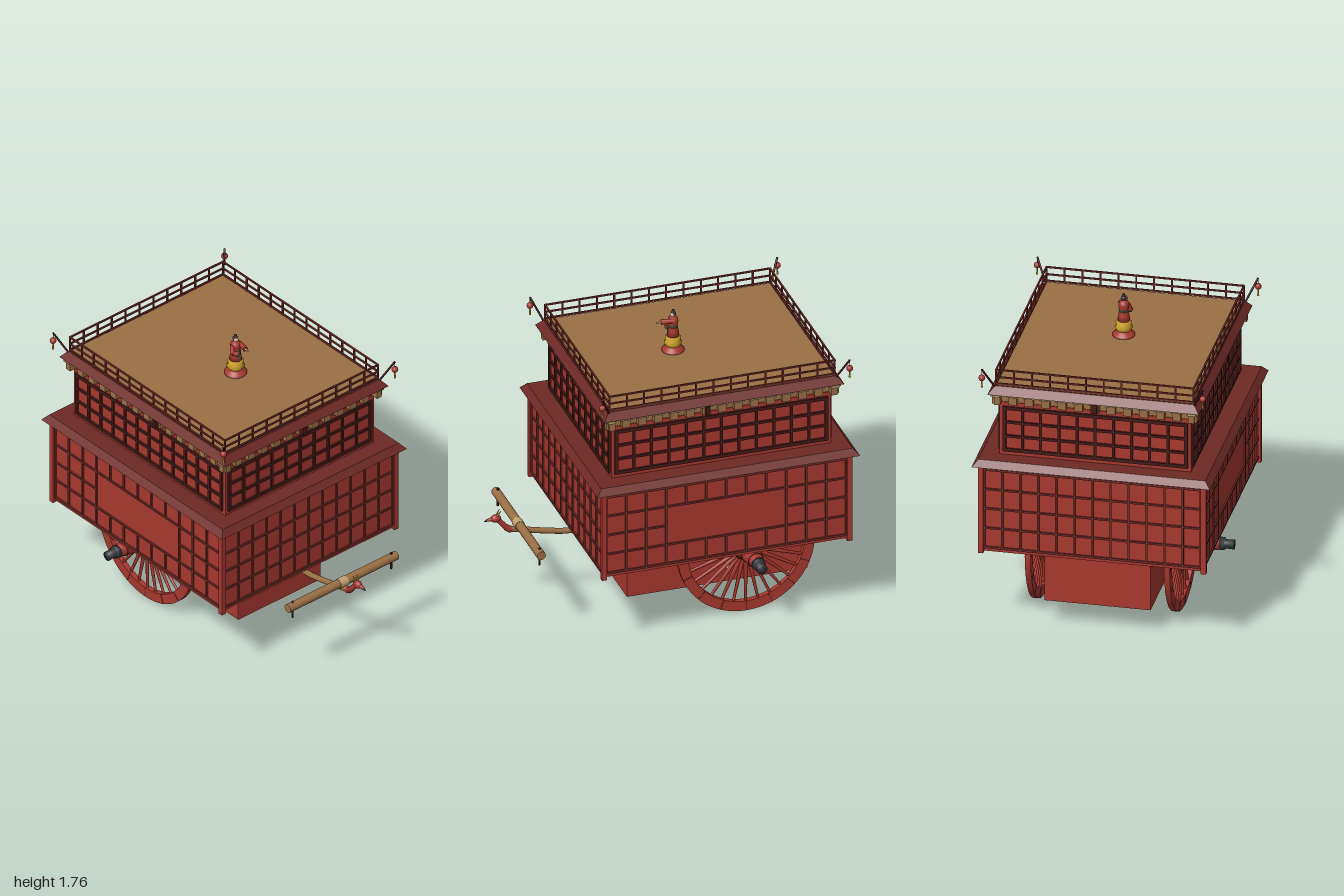
import * as THREE from 'three';
import { mergeGeometries } from 'three/addons/utils/BufferGeometryUtils.js';

const RED = 0xa8382f, MAROON = 0x6e2a26, DARK = 0x421917, WOOD = 0x9a7045, TAN = 0xc2a070;
const GOLD = 0xd0a52c, IRON = 0x33373c, SKIN = 0xd9b08c, GREEN = 0x2f7a5a, BLUE = 0x3a62a0, IVORY = 0xd8ccb0;
const CX = -0.22;            // centre of the carriage body along x
const WHEEL_X = -0.415, AXLE_Y = 0.41;

const box = (w, h, d, x = 0, y = 0, z = 0) => new THREE.BoxGeometry(w, h, d).translate(x, y, z);
const ball = (r, x, y, z) => new THREE.SphereGeometry(r, 14, 10).translate(x, y, z);
const lathe = (pts, seg = 24) => new THREE.LatheGeometry(pts.map(p => new THREE.Vector2(...p)), seg);

// Round bar between two points
function rod(a, b, r0, r1 = r0, seg = 10) {
  const A = new THREE.Vector3(...a), B = new THREE.Vector3(...b), d = B.clone().sub(A);
  const g = new THREE.CylinderGeometry(r1, r0, d.length(), seg);
  g.applyQuaternion(new THREE.Quaternion().setFromUnitVectors(new THREE.Vector3(0, 1, 0), d.normalize()));
  return g.translate(...A.add(B).multiplyScalar(0.5).toArray());
}

// Hipped slab: a box whose top is narrower than its bottom
function hip(hx, hz, tx, tz, y0, y1) {
  const g = box(2 * hx, y1 - y0, 2 * hz, 0, (y0 + y1) / 2, 0).toNonIndexed();
  const p = g.attributes.position;
  for (let i = 0; i < p.count; i++) {
    if (p.getY(i) > (y0 + y1) / 2) p.setXYZ(i, Math.sign(p.getX(i)) * tx, y1, Math.sign(p.getZ(i)) * tz);
  }
  g.computeVertexNormals();
  return g.translate(CX, 0, 0);
}

// Grid of bars in the xy plane; an optional range of cells is left as one open panel
function lattice(hw, y0, y1, cols, rows, bar, depth, edge, gap) {
  const out = [], cw = 2 * hw / cols, rh = (y1 - y0) / rows;
  for (let i = 0; i <= cols; i++) for (let j = 0; j < rows; j++) {
    if (gap && i > gap[0] && i < gap[1] && j >= gap[2] && j < gap[3]) continue;
    out.push(box(i % cols ? bar : edge, rh, depth, -hw + i * cw, y0 + (j + 0.5) * rh, 0));
  }
  for (let j = 0; j <= rows; j++) for (let i = 0; i < cols; i++) {
    if (gap && i >= gap[0] && i < gap[1] && j > gap[2] && j < gap[3]) continue;
    const b = j % rows ? bar : edge;
    out.push(box(cw + (j % rows ? 0 : b), b, depth, -hw + (i + 0.5) * cw, y0 + j * rh, 0));
  }
  return out;
}

// Places pieces made for a +z wall on all four walls (k = 0 front, 1 left, 2 back, 3 right)
function fourSides(hx, hz, make) {
  const out = [];
  for (let k = 0; k < 4; k++) {
    const along = k % 2 ? hz : hx, off = k % 2 ? hx : hz;
    for (const g of make(along, k % 2)) out.push(g.translate(0, 0, off).rotateY(k * Math.PI / 2).translate(CX, 0, 0));
  }
  return out;
}

export function createModel() {
  const model = new THREE.Group();
  const add = (name, color, geos, parent = model, side = THREE.FrontSide) => {
    const list = Array.isArray(geos) ? geos : [geos];
    const m = new THREE.Mesh(list.length > 1 ? mergeGeometries(list) : list[0],
      new THREE.MeshStandardMaterial({ color, side }));
    m.name = name;
    parent.add(m);
    return m;
  };

  // Lower cabin
  add('lowerCabin', RED, box(1.45, 0.54, 1.27, CX, 0.76, 0));
  const posts = [];
  for (const sx of [-1, 1]) for (const sz of [-1, 1]) posts.push(box(0.03, 0.56, 0.03, CX + sx * 0.727, 0.76, sz * 0.64));
  add('cornerPosts', RED, posts);
  add('lowerLattice', MAROON, fourSides(0.725, 0.635, (w, end) =>
    lattice(w - 0.013, 0.515, 1.0, 12, 4, 0.011, 0.018, 0.013, end ? null : [3, 9, 1, 3])));
  add('lowerEave', MAROON, hip(0.778, 0.685, 0.745, 0.652, 1.03, 1.068));

  // Upper cabin with heavy window grids
  add('upperCabin', RED, box(1.3, 0.34, 1.1, CX, 1.225, 0));
  add('upperLattice', DARK, fourSides(0.65, 0.55, (w, end) =>
    lattice(w - 0.028, 1.1, 1.36, end ? 10 : 12, 3, 0.015, 0.022, 0.02)));

  // Bracket course under the roof
  add('bracketCore', WOOD, box(1.29, 0.08, 1.09, CX, 1.43, 0));
  const blocks = (n, w, h, y, d) => fourSides(0.645, 0.545, (hw, end) => {
    const m = end ? n - 2 : n, half = hw + 0.02;
    return Array.from({ length: m }, (_, i) => box(w, h, d, -half + 2 * half * i / (m - 1), y, d / 2 - 0.005));
  });
  add('bracketBlocks', WOOD, blocks(15, 0.048, 0.05, 1.415, 0.035));
  add('bracketCaps', TAN, blocks(15, 0.066, 0.022, 1.45, 0.045));
  add('plaques', DARK, [box(0.025, 0.055, 1.2, -0.128, 1.425, 0), box(1.4, 0.055, 0.035, CX, 1.425, 0)]);

  // Roof, deck and railing
  add('upperEave', MAROON, hip(0.712, 0.607, 0.675, 0.572, 1.46, 1.503));
  add('roofDeck', WOOD, box(1.33, 0.01, 1.13, CX, 1.503, 0));
  add('railing', MAROON, fourSides(0.667, 0.567, (w, end) => {
    const n = end ? 11 : 13;
    const out = [1.515, 1.555, 1.6].map(y => box(2 * w + 0.01, 0.009, 0.009, 0, y, 0));
    for (let i = 0; i < n; i++) out.push(box(0.009, 0.1, 0.009, -w + 2 * w * i / n, 1.553, 0));
    return out;
  }));

  // Corner lanterns on slanting poles
  for (const sx of [-1, 1]) for (const sz of [-1, 1]) {
    const g = new THREE.Group();
    g.name = 'cornerLantern';
    const x = CX + sx * 0.733, z = sz * 0.635;
    add('lanternPole', DARK, [rod([CX + sx * 0.675, 1.5, sz * 0.575], [x, 1.625, z], 0.006),
      rod([x, 1.625, z], [x, 1.59, z], 0.002)], g);
    add('lanternBody', RED, ball(0.019, x, 1.573, z), g);
    add('lanternTassel', GOLD, rod([x, 1.555, z], [x, 1.515, z], 0.004, 0.006), g);
    model.add(g);
  }

  // Pointing figure on a lotus stand, facing the draught pole
  const figure = new THREE.Group();
  figure.name = 'figure';
  figure.position.set(-0.12, 1.505, 0);
  add('figureBase', RED, lathe([[0, 0], [0.064, 0], [0.064, 0.012], [0.045, 0.025], [0.035, 0.04], [0, 0.04]]), figure);
  add('figureLotus', GOLD, lathe([[0, 0.03], [0.035, 0.03], [0.052, 0.055], [0.04, 0.068], [0.046, 0.085], [0.032, 0.1], [0, 0.1]]), figure);
  add('robe', RED, [lathe([[0, 0.09], [0.036, 0.09], [0.032, 0.13], [0.024, 0.16], [0.031, 0.19], [0.027, 0.21], [0.01, 0.222], [0, 0.222]]),
    rod([0.005, 0.2, -0.022], [0.075, 0.197, -0.008], 0.013, 0.016),
    rod([0, 0.2, 0.024], [0.015, 0.155, 0.036], 0.013, 0.015), rod([0.015, 0.155, 0.036], [0.035, 0.15, 0.008], 0.014)], figure);
  add('sash', GREEN, [new THREE.TorusGeometry(0.025, 0.005, 6, 20).rotateX(Math.PI / 2).translate(0, 0.158, 0),
    box(0.005, 0.06, 0.012, 0.031, 0.125, 0)], figure);
  add('headAndHand', SKIN, [ball(0.015, 0.002, 0.229, 0), rod([0.075, 0.197, -0.008], [0.102, 0.196, -0.006], 0.006, 0.003)], figure);
  add('hat', IRON, [ball(0.015, -0.004, 0.235, 0), rod([0, 0.238, 0], [-0.002, 0.261, 0], 0.012, 0.007)], figure);
  model.add(figure);

  // Open-bottomed gear box with timbers inside
  add('gearBox', RED, [box(1.071, 0.35, 0.008, -0.28, 0.325, 0.301), box(1.071, 0.35, 0.008, -0.28, 0.325, -0.301),
    box(0.008, 0.35, 0.61, -0.811, 0.325, 0), box(0.008, 0.35, 0.61, 0.252, 0.325, 0)]);
  const timbers = [box(0.15, 0.006, 0.6, 0.335, 0.487, 0), box(0.3, 0.06, 0.12, WHEEL_X, 0.4, 0)];
  for (const s of [-1, 1]) {
    timbers.push(box(1.05, 0.03, 0.05, -0.28, 0.46, s * 0.2), box(0.12, 0.08, 0.05, WHEEL_X, 0.42, s * 0.24));
    for (const x of [-0.57, -0.78]) timbers.push(box(0.025, 0.32, 0.02, x, 0.32, s * 0.285));
  }
  add('timbers', WOOD, timbers);
  add('axle', DARK, rod([WHEEL_X, AXLE_Y, -0.66], [WHEEL_X, AXLE_Y, 0.66], 0.022));

  // Wheels with long tapering hubs
  for (const s of [-1, 1]) {
    const wheel = new THREE.Group();
    wheel.name = 'wheel';
    wheel.position.set(WHEEL_X, AXLE_Y, 0);
    if (s < 0) wheel.rotation.y = Math.PI;
    const t = 0.016;
    add('rim', RED, [new THREE.ExtrudeGeometry((() => {
      const o = new THREE.Shape().absarc(0, 0, 0.405, 0, Math.PI * 2);
      o.holes.push(new THREE.Path().absarc(0, 0, 0.345, 0, Math.PI * 2, true));
      return o;
    })(), { depth: 2 * t, bevelEnabled: false, curveSegments: 48 }).translate(0, 0, 0.4 - t)], wheel);
    const spokes = [], clamps = [];
    for (let i = 0; i < 30; i++) {
      spokes.push(new THREE.CylinderGeometry(0.008, 0.013, 0.29, 6).translate(0, 0.205, 0)
        .rotateZ(i * Math.PI / 15).translate(0, 0, 0.4));
    }
    for (let i = 0; i < 16; i++) clamps.push(box(0.006, 0.056, 0.036, 0, 0.375, 0).rotateZ(i * Math.PI / 8).translate(0, 0, 0.4));
    add('spokes', RED, spokes, wheel);
    add('rimJoints', MAROON, clamps, wheel);
    add('hub', RED, lathe([[0, 0.305], [0.055, 0.305], [0.06, 0.325], [0.074, 0.33], [0.076, 0.42], [0.066, 0.43],
      [0.062, 0.46], [0.04, 0.6], [0.032, 0.64], [0, 0.64]]).rotateX(Math.PI / 2), wheel);
    add('hubBands', MAROON, [[0.33, 0.074], [0.42, 0.076], [0.5, 0.056], [0.58, 0.043]].map(([z, r]) =>
      new THREE.TorusGeometry(r, 0.004, 6, 28).translate(0, 0, z)), wheel);
    add('axleCap', IRON, lathe([[0, 0.62], [0.038, 0.62], [0.036, 0.645], [0.026, 0.65], [0.028, 0.7], [0, 0.7]]).rotateX(Math.PI / 2), wheel);
    model.add(wheel);

    // Hanging bead string beside the hub
    const beads = [GOLD, BLUE, IVORY];
    beads.forEach((c, k) => {
      const list = [];
      for (let i = k; i < 9; i += 3) list.push(ball(0.012, WHEEL_X + 0.09, 0.46 - i * 0.019, s * 0.357));
      add('beads', c, list);
    });
    add('beadTassel', IVORY, rod([WHEEL_X + 0.09, 0.31, s * 0.357], [WHEEL_X + 0.09, 0.23, s * 0.357], 0.006, 0.01));
  }

  // Draught pole, crossbar and carved animal-head finial
  const path = new THREE.CatmullRomCurve3([[0.2, 0.46, 0], [0.42, 0.46, 0], [0.52, 0.462, 0], [0.62, 0.48, 0], [0.86, 0.535, 0]]
    .map(p => new THREE.Vector3(...p)));
  add('draughtPole', WOOD, new THREE.TubeGeometry(path, 24, 0.017, 10), model, THREE.DoubleSide);
  add('poleSocket', MAROON, box(0.03, 0.055, 0.066, 0.265, 0.457, 0));
  add('crossbar', WOOD, rod([0.795, 0.556, -0.402], [0.795, 0.556, 0.402], 0.026, 0.026, 18));
  add('crossbarBinding', TAN, rod([0.795, 0.554, -0.028], [0.795, 0.554, 0.028], 0.03, 0.03, 18));
  add('crossbarPegs', DARK, [-1, 1].map(s => rod([0.795, 0.59, s * 0.365], [0.795, 0.48, s * 0.365], 0.006)));
  add('finialNeck', RED, [rod([0.84, 0.525, 0], [0.87, 0.545, 0], 0.019), rod([0.86, 0.535, 0], [0.925, 0.61, 0], 0.018, 0.014)]);
  add('finialHead', RED, [ball(0.024, 0.93, 0.612, 0).translate(-0.93, -0.612, 0).scale(1.3, 1, 0.9).translate(0.93, 0.612, 0),
    rod([0.94, 0.613, 0], [0.985, 0.608, 0], 0.015, 0.007)]);
  add('finialBeak', IRON, rod([0.975, 0.608, 0], [1.0, 0.603, 0], 0.008, 0.002));
  add('finialCrest', GOLD, [-1, 1].map(s => rod([0.925, 0.628, s * 0.008], [0.905, 0.66, s * 0.013], 0.006, 0.002)));

  return model;
}
